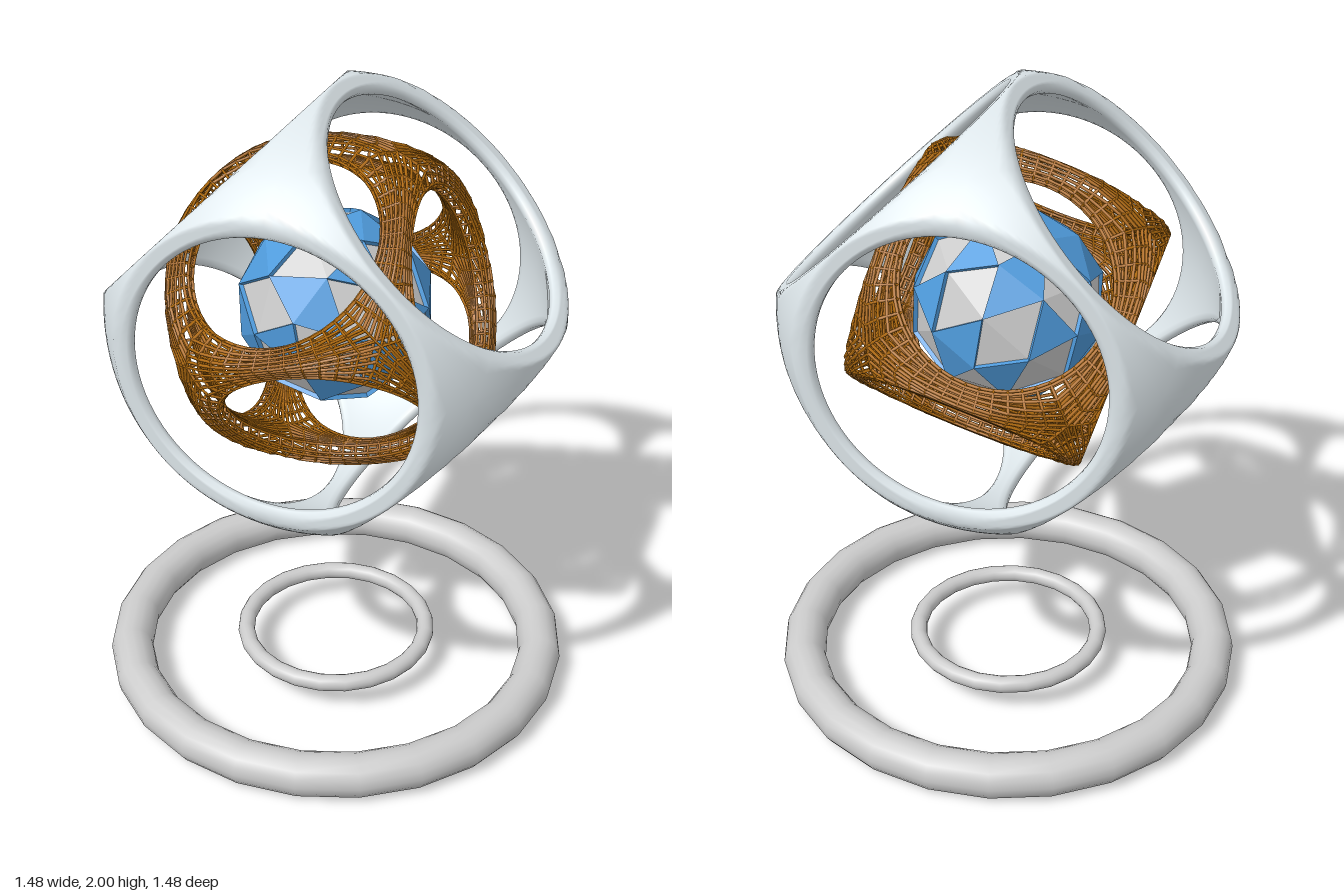
import * as THREE from 'three';
import { mergeGeometries, mergeVertices } from 'three/addons/utils/BufferGeometryUtils.js';
import { ConvexGeometry } from 'three/addons/geometries/ConvexGeometry.js';

const CENTRE_Y = 1.316;

const paint = (color, extra = {}) => new THREE.MeshStandardMaterial({ color, ...extra });

function addMesh(parent, name, geometry, material) {
  const mesh = new THREE.Mesh(geometry, material);
  mesh.name = name;
  parent.add(mesh);
  return mesh;
}

// Hollow cube cut by a sphere, with a round hole through each face.
// half: half width, outer/inner: sphere radii, hole: hole radius, bevel: rim rounding.
function cubeFrame({ half, outer, inner, hole, bevel, cols, rows }) {
  const section = (angle) => {
    const c = Math.cos(angle), s = Math.sin(angle);
    const edge = 1 / Math.max(Math.abs(c), Math.abs(s));
    const points = [];
    const onSphere = (t, radius) => {
      const d = new THREE.Vector3(c * t, s * t, 1);
      points.push(d.multiplyScalar(radius(d.length()) / d.length()));
    };
    const rim = hole + bevel;
    // outside skin: spherical corners running into flat face discs
    for (let j = 0; j <= rows; j++) {
      onSphere(THREE.MathUtils.lerp(edge, rim / half, j / rows), (l) => Math.min(outer, half * l));
    }
    // hole wall
    for (const z of [half - bevel, Math.sqrt(inner ** 2 - hole ** 2)]) {
      points.push(new THREE.Vector3(c * hole, s * hole, z));
    }
    // inside skin
    const start = rim / Math.sqrt(inner ** 2 - rim ** 2);
    for (let j = 0; j < rows; j++) {
      onSphere(THREE.MathUtils.lerp(start, edge, j / (rows - 1)), () => inner);
    }
    return points;
  };

  const positions = [], index = [];
  for (let i = 0; i < cols; i++) {
    section((i / cols) * Math.PI * 2).forEach((p) => positions.push(p.x, p.y, p.z));
  }
  const n = positions.length / 3 / cols;
  for (let i = 0; i < cols; i++) {
    for (let k = 0; k < n - 1; k++) {
      const a = i * n + k, b = ((i + 1) % cols) * n + k;
      index.push(a, b, a + 1, b, b + 1, a + 1);
    }
  }
  const face = new THREE.BufferGeometry();
  face.setAttribute('position', new THREE.Float32BufferAttribute(positions, 3));
  face.setIndex(index);

  const faces = [0, 1, 2, 3].map((q) => face.clone().rotateY((q * Math.PI) / 2));
  faces.push(face.clone().rotateX(Math.PI / 2), face.clone().rotateX(-Math.PI / 2));
  const frame = mergeVertices(mergeGeometries(faces), 1e-4);
  frame.computeVertexNormals();
  return frame;
}

// Replaces every quad edge of a frame by a thin rod
function wireLattice(frame, radius) {
  const pos = frame.attributes.position, idx = frame.index.array;
  const seen = new Set(), rods = [];
  const up = new THREE.Vector3(0, 1, 0);
  const addRod = (a, b) => {
    const key = a < b ? `${a}_${b}` : `${b}_${a}`;
    if (a === b || seen.has(key)) return;
    seen.add(key);
    const p = new THREE.Vector3().fromBufferAttribute(pos, a);
    const q = new THREE.Vector3().fromBufferAttribute(pos, b);
    const dir = q.clone().sub(p), length = dir.length();
    const rod = new THREE.CylinderGeometry(radius, radius, length + radius, 4, 1, true);
    rod.applyQuaternion(new THREE.Quaternion().setFromUnitVectors(up, dir.normalize()));
    const mid = p.add(q).multiplyScalar(0.5);
    rods.push(rod.translate(mid.x, mid.y, mid.z));
  };
  for (let i = 0; i < idx.length; i += 6) {
    const [a, b, c, , d] = idx.slice(i, i + 6);
    addRod(a, b);
    addRod(a, c);
    addRod(b, d);
    addRod(c, d);
  }
  return mergeGeometries(rods);
}

// Raised plates over every second facet of the core
function corePlates(core) {
  const pos = core.attributes.position, plates = [];
  for (let i = 0; i < pos.count; i += 6) {
    const tri = [0, 1, 2].map((k) => new THREE.Vector3().fromBufferAttribute(pos, i + k));
    const corners = tri.flatMap((p) => [p.clone().multiplyScalar(0.98), p.clone().multiplyScalar(1.05)]);
    plates.push(new ConvexGeometry(corners));
  }
  return mergeGeometries(plates);
}

export function createModel() {
  const model = new THREE.Group();
  model.name = 'floatingCubeOrnament';
  const grey = paint(0xcccccc);

  // Ground rings
  for (const [name, radius, tube, y] of [
    ['outerBaseRing', 0.677, 0.068, 0.07],
    ['innerBaseRing', 0.298, 0.027, 0.106],
  ]) {
    const ring = new THREE.TorusGeometry(radius, tube, 16, 24);
    ring.rotateZ(Math.PI / 24).rotateX(-Math.PI / 2);
    addMesh(model, name, ring, grey).position.y = y;
  }

  // Outer solid frame, standing on one edge
  const shell = addMesh(model, 'outerFrame', cubeFrame({
    half: 0.488, outer: 0.686, inner: 0.63, hole: 0.43, bevel: 0.012, cols: 96, rows: 8,
  }), paint(0xdde6ea));
  shell.position.y = CENTRE_Y;
  shell.rotation.set(0, THREE.MathUtils.degToRad(10), THREE.MathUtils.degToRad(46));

  // Inner wire frame, tilted on its own axes
  const lattice = addMesh(model, 'innerLattice', wireLattice(cubeFrame({
    half: 0.37, outer: 0.52, inner: 0.45, hole: 0.302, bevel: 0.01, cols: 48, rows: 5,
  }), 0.0048), paint(0xb87010));
  const axis = new THREE.Vector3(0.93, 0.29, -0.217).normalize();
  const frontEdge = new THREE.Vector3(0.19, 0.11, 0.97);
  frontEdge.addScaledVector(axis, -frontEdge.dot(axis)).normalize();
  const faceUp = frontEdge.clone().applyAxisAngle(axis, -Math.PI / 4);
  lattice.quaternion.setFromRotationMatrix(
    new THREE.Matrix4().makeBasis(axis, faceUp, axis.clone().cross(faceUp)));
  lattice.position.y = CENTRE_Y;

  // Faceted core with coloured plates
  const core = new THREE.Group();
  core.name = 'core';
  core.position.y = CENTRE_Y + 0.004;
  core.rotation.set(0.3, 0.2, 0.1);
  const ball = new THREE.IcosahedronGeometry(0.283, 1);
  addMesh(core, 'coreBall', ball, paint(0xcccccc, { flatShading: true }));
  addMesh(core, 'corePlates', corePlates(ball), paint(0x4f9bdc, { flatShading: true }));
  model.add(core);

  return model;
}
